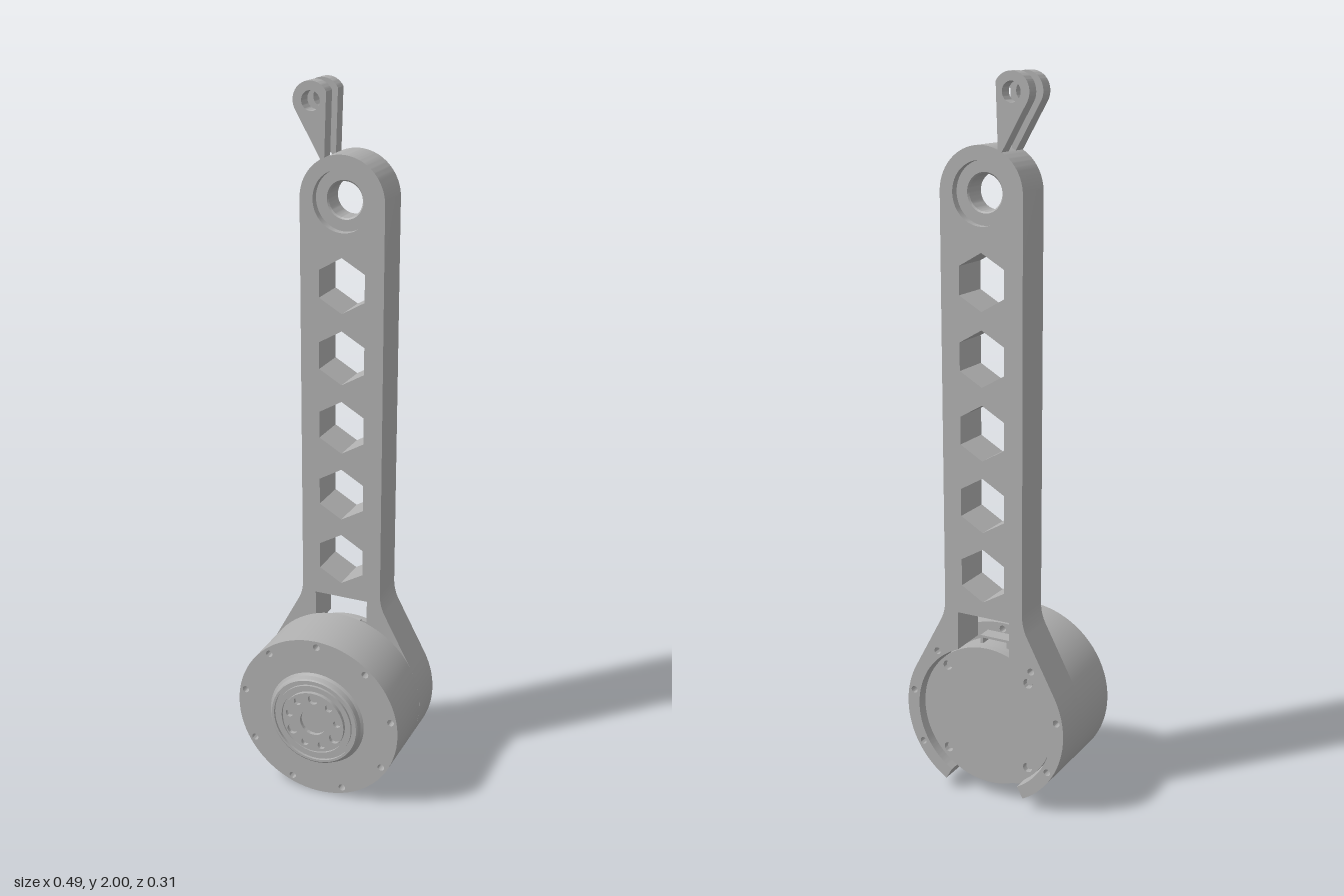
import * as THREE from 'three';
import { toCreasedNormals } from 'three/addons/utils/BufferGeometryUtils.js';

const BACK = -0.157, SEAT = -0.045, FACE = 0.13, AXIS = 0.25, R = 0.247;
const rad = THREE.MathUtils.degToRad;
const polar = (r, deg, cy = AXIS) => [r * Math.cos(rad(deg)), cy + r * Math.sin(rad(deg))];

function circle(x, y, r) {
  const p = new THREE.Path();
  p.absarc(x, y, r, 0, Math.PI * 2, false);
  return p;
}

function disc(r, holes = []) {
  const s = new THREE.Shape();
  s.absarc(0, AXIS, r, 0, Math.PI * 2, false);
  s.holes.push(...holes);
  return s;
}

function extrude(shape, z0, z1) {
  const g = new THREE.ExtrudeGeometry(shape, { depth: z1 - z0, bevelEnabled: false, curveSegments: 40 });
  g.translate(0, 0, z0);
  return toCreasedNormals(g, 0.5);
}

// Profile of [radius, z] pairs turned about the z axis at height y
function turned(profile, y) {
  const g = new THREE.LatheGeometry(profile.map(([r, z]) => new THREE.Vector2(r, z)), 64);
  g.rotateX(Math.PI / 2);
  g.translate(0, y, 0);
  return toCreasedNormals(g, 0.5);
}

// Arm outline with a horseshoe clamp at the bottom
function armShape() {
  const inner = 0.21, w = 0.08;
  const a = Math.acos(w / inner);
  const s = new THREE.Shape();
  s.moveTo(...polar(R, -60));
  s.absarc(0, AXIS, R, rad(-60), rad(28), false);
  s.lineTo(0.135, 0.522);
  s.quadraticCurveTo(0.12, 0.55, 0.12, 0.585);
  s.lineTo(0.12, 1.7);
  s.absarc(0, 1.7, 0.12, 0, Math.PI, false);
  s.lineTo(-0.12, 0.585);
  s.quadraticCurveTo(-0.12, 0.55, -0.135, 0.522);
  s.lineTo(...polar(R, 152));
  s.absarc(0, AXIS, R, rad(152), rad(240), false);
  s.lineTo(...polar(inner, 240));
  s.absarc(0, AXIS, inner, rad(240), Math.PI - a, true);
  s.lineTo(-w, 0.555);
  s.lineTo(w, 0.555);
  s.lineTo(...polar(inner, THREE.MathUtils.radToDeg(a)));
  s.absarc(0, AXIS, inner, a, rad(-60), true);
  s.closePath();

  // Hexagonal lightening holes
  for (let i = 0; i < 5; i++) {
    const hex = new THREE.Path();
    for (let k = 0; k < 6; k++) {
      const p = polar(0.076, 30 + 60 * k, 0.675 + 0.2 * i);
      k ? hex.lineTo(...p) : hex.moveTo(...p);
    }
    hex.closePath();
    s.holes.push(hex);
  }
  s.holes.push(circle(0, 1.7, 0.083));
  // Clamp screw holes
  for (const deg of [10, 50, 130, 170, 210, 330]) s.holes.push(circle(...polar(0.229, deg), 0.01));
  return s;
}

// Slanted lever with a round eye
function leverShape() {
  const x = -0.087, y = 1.95, r = 0.05;
  const s = new THREE.Shape();
  s.moveTo(0.056, 1.802);
  s.absarc(x, y, r, rad(30), rad(210), false);
  s.lineTo(-0.05, 1.786);
  s.closePath();
  s.holes.push(circle(x, y, 0.026));
  return s;
}

// Open rectangular socket, centred on x = 0
function socketShape(y0, y1) {
  const box = (P, w, a, b) => {
    const p = new P();
    p.moveTo(-w, a); p.lineTo(w, a); p.lineTo(w, b); p.lineTo(-w, b);
    p.closePath();
    return p;
  };
  const s = box(THREE.Shape, 0.045, y0, y1);
  s.holes.push(box(THREE.Path, 0.037, y0 + 0.007, y1 - 0.007));
  return s;
}

export function createModel() {
  const group = new THREE.Group();
  const grey = new THREE.MeshStandardMaterial({ color: 0xb0b0b0 });
  grey.name = 'metal grey';
  const add = (name, geometry) => {
    const m = new THREE.Mesh(geometry, grey);
    m.name = name;
    group.add(m);
  };

  add('arm', extrude(armShape(), BACK, SEAT));

  // Bearing set back from both faces of the arm
  const b0 = BACK + 0.022, b1 = SEAT - 0.022;
  add('bearing', turned([[0.083, b0], [0.083, b1], [0.052, b1], [0.048, b1 - 0.004],
    [0.048, b0 + 0.004], [0.052, b0], [0.083, b0]], 1.7));

  // Two fork prongs at the top
  add('rearProng', extrude(leverShape(), BACK, -0.121));
  add('frontProng', extrude(leverShape(), -0.083, SEAT));

  // Motor drum with a ring of nine screw holes
  const rim = [];
  for (let i = 0; i < 9; i++) rim.push(circle(...polar(0.229, 90 + 40 * i), 0.01));
  add('motorDrum', extrude(disc(R, rim), SEAT, FACE));

  // Rear of the motor, sitting inside the clamp
  add('motorRear', extrude(disc(0.2), -0.115, SEAT));
  const notches = [45, 135, 225, 315].map((d) => circle(...polar(0.18, d), 0.014));
  add('rearCover', extrude(disc(0.204, notches), -0.135, -0.115));
  [45, 135, 225, 315].forEach((d) => {
    const [x, y] = polar(0.18, d);
    add('rearScrew', turned([[0.009, -0.125], [0.009, -0.115]], 0).translate(x, y, 0));
    const cap = new THREE.CircleGeometry(0.009, 16).rotateY(Math.PI);
    add('rearScrewHead', cap.translate(x, y, -0.125));
  });

  // Cable sockets above and below the rear of the motor
  add('lowerSocket', extrude(socketShape(0.03, 0.062), -0.092, -0.05));
  add('upperSocket', extrude(socketShape(0.438, 0.47), -0.092, -0.05));

  // Stepped output hub
  add('outputHub', turned([[0.145, FACE], [0.138, 0.135], [0.135, 0.15], [0.131, 0.153],
    [0.124, 0.153], [0.124, 0.146], [0.115, 0.146], [0.115, 0.153], [0.1, 0.153],
    [0.1, 0.146], [0, 0.146]], AXIS));

  // Output plate with bolt circle and centre bore
  const bolts = [circle(0, AXIS, 0.04)];
  for (let i = 0; i < 9; i++) bolts.push(circle(...polar(0.075, 90 + 40 * i), i % 3 ? 0.011 : 0.015));
  add('outputPlate', extrude(disc(0.094, bolts), 0.146, 0.157));

  return group;
}
